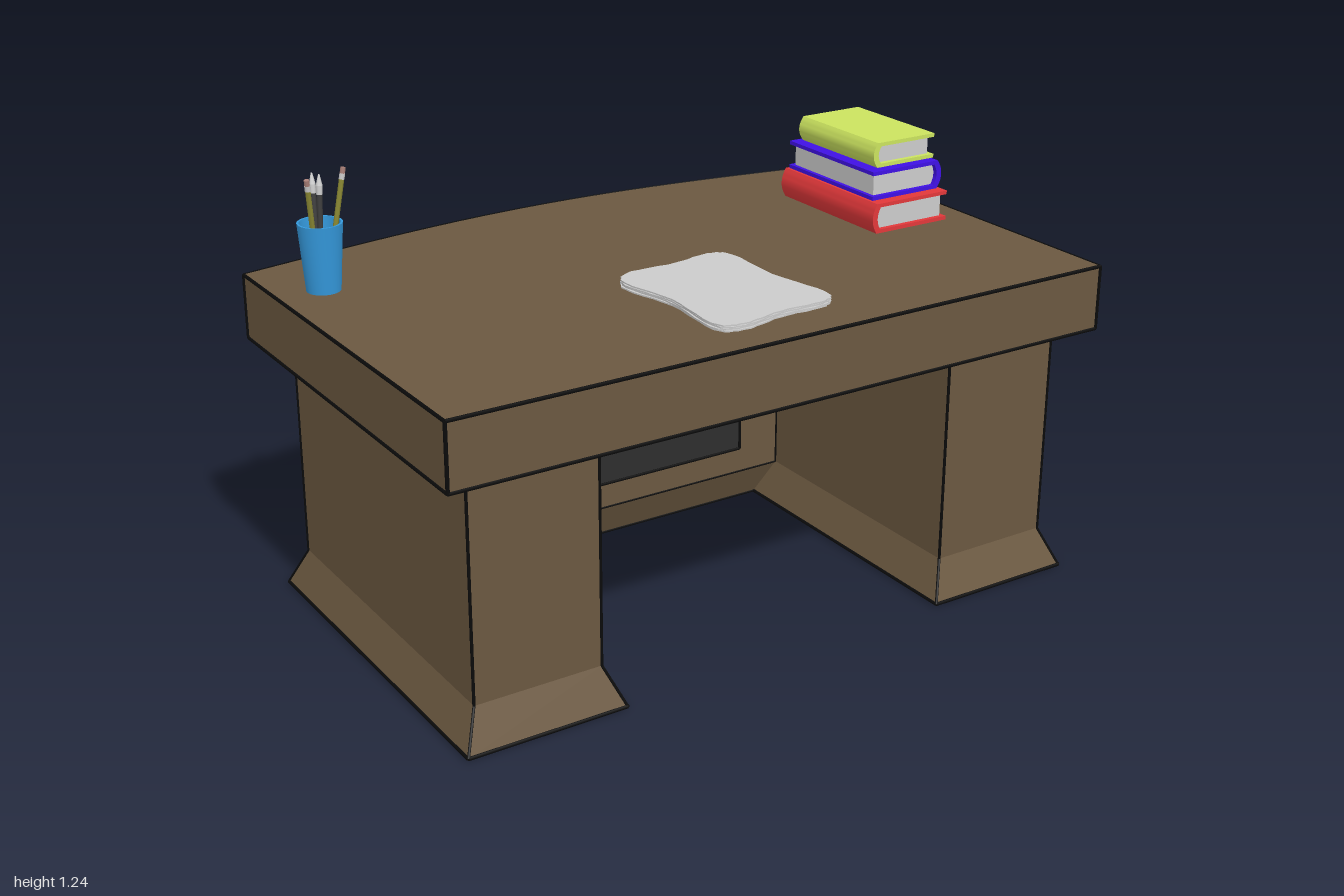
import * as THREE from 'three';
import { toCreasedNormals } from 'three/addons/utils/BufferGeometryUtils.js';

const mat = (color, side = THREE.FrontSide) => new THREE.MeshStandardMaterial({ color, side });
const wood = mat(0x6b5840), dark = mat(0x2e2e2e), ink = mat(0x0b0b0b), grey = mat(0xcccccc);
const V = (x, y, z) => new THREE.Vector3(x, y, z);

function add(parent, name, geo, material) {
  const m = new THREE.Mesh(geo, material);
  m.name = name;
  parent.add(m);
  return m;
}

// Box given by its limits
function box(x0, x1, y0, y1, z0, z1) {
  return new THREE.BoxGeometry(x1 - x0, y1 - y0, z1 - z0)
    .translate((x0 + x1) / 2, (y0 + y1) / 2, (z0 + z1) / 2);
}

// Rod between two points
function rod(a, b, r0, r1 = r0, sides = 6) {
  const d = b.clone().sub(a);
  const g = new THREE.CylinderGeometry(r1, r0, d.length(), sides);
  g.applyQuaternion(new THREE.Quaternion().setFromUnitVectors(V(0, 1, 0), d.clone().normalize()));
  return g.translate((a.x + b.x) / 2, (a.y + b.y) / 2, (a.z + b.z) / 2);
}

// Black trim running along a chain of points
function trim(parent, pts, closed = false, r = 0.005) {
  const n = closed ? pts.length : pts.length - 1;
  for (let i = 0; i < n; i++) add(parent, 'edgeTrim', rod(pts[i], pts[(i + 1) % pts.length], r), ink);
}

const rectPoints = (x0, x1, y0, y1, z) => [V(x0, y0, z), V(x1, y0, z), V(x1, y1, z), V(x0, y1, z)];
const floorRect = (x0, x1, z0, z1, y) => [V(x0, y, z0), V(x1, y, z0), V(x1, y, z1), V(x0, y, z1)];

// Upright slab with a rectangular opening
function frame(x0, x1, y0, y1, hx0, hx1, hy0, hy1, z, depth) {
  const path = (P, a, b, c, d) => new P([[a, c], [b, c], [b, d], [a, d]].map(p => new THREE.Vector2(...p)));
  const s = path(THREE.Shape, x0, x1, y0, y1);
  s.holes.push(path(THREE.Path, hx0, hx1, hy0, hy1));
  return new THREE.ExtrudeGeometry(s, { depth, bevelEnabled: false }).translate(0, 0, z);
}

// Horizontal slab from an (x, z) outline
function slab(points, y, depth) {
  const s = new THREE.Shape(points.map(p => new THREE.Vector2(p.x, -p.y)));
  const g = new THREE.ExtrudeGeometry(s, { depth, bevelEnabled: false });
  return toCreasedNormals(g.rotateX(-Math.PI / 2).translate(0, y, 0), 0.5);
}

function makeTop() {
  const g = new THREE.Group();
  g.name = 'desktop';
  // Bowed rear edge, one half mirrored
  const half = new THREE.CubicBezierCurve(
    new THREE.Vector2(-0.99, -0.53), new THREE.Vector2(-0.65, -0.592),
    new THREE.Vector2(-0.35, -0.652), new THREE.Vector2(0, -0.652)).getPoints(14);
  const back = [...half, ...half.slice(0, -1).reverse().map(p => new THREE.Vector2(-p.x, p.y))];
  const outline = [...back, new THREE.Vector2(0.99, 0.65), new THREE.Vector2(-0.99, 0.65)];
  add(g, 'topSlab', slab(outline, 0.73, 0.184), wood);
  for (const y of [0.732, 0.911]) trim(g, outline.map(p => V(p.x, y, p.y)), true);
  for (const x of [-0.99, 0.99]) for (const z of [-0.53, 0.65]) trim(g, [V(x, 0.732, z), V(x, 0.911, z)]);
  return g;
}

function makePedestal(side) {
  const g = new THREE.Group();
  g.name = side > 0 ? 'leftPedestal' : 'rightPedestal';
  const [x0, x1] = side > 0 ? [0.545, 0.905] : [-0.905, -0.545];
  const [h0, h1] = side > 0 ? [0.61, 0.84] : [-0.84, -0.61];
  const z0 = -0.42, z1 = 0.57, yf = 0.115, cx = (x0 + x1) / 2;
  add(g, 'pedestalBody', box(x0, x1, yf, 0.73, z0 + 0.035, z1), wood);
  add(g, 'pedestalBackFrame', frame(x0, x1, yf, 0.73, h0, h1, 0.275, 0.615, z0, 0.035), wood);
  add(g, 'pedestalInset', box(h0, h1, 0.275, 0.615, z0 + 0.028, z0 + 0.036), dark);
  // Flared foot: lower corners pushed outward
  const foot = box(x0, x1, 0.008, yf, z0, z1).toNonIndexed();
  const p = foot.attributes.position;
  for (let i = 0; i < p.count; i++) {
    if (p.getY(i) > 0.05) continue;
    p.setX(i, p.getX(i) + Math.sign(p.getX(i) - cx) * 0.045);
    p.setZ(i, p.getZ(i) + Math.sign(p.getZ(i)) * 0.05);
  }
  foot.computeVertexNormals();
  add(g, 'pedestalFoot', foot, wood);
  trim(g, floorRect(x0 - 0.045, x1 + 0.045, z0 - 0.05, z1 + 0.05, 0.008), true);
  for (const [x, s] of [[x0, -1], [x1, 1]])
    for (const [z, t] of [[z0, -1], [z1, 1]])
      trim(g, [V(x, 0.73, z), V(x, yf, z), V(x + s * 0.045, 0.008, z + t * 0.05)], false, 0.004);
  trim(g, rectPoints(h0, h1, 0.275, 0.615, z0), true, 0.004);
  trim(g, rectPoints(h0, h1, 0.275, 0.615, z0 + 0.028), true, 0.003);
  return g;
}

function makePanel() {
  const g = new THREE.Group();
  g.name = 'modestyPanel';
  const z0 = -0.245, d = 0.035, yf = 0.115;
  add(g, 'panelFrame', frame(-0.545, 0.545, yf, 0.73, -0.41, 0.41, 0.19, 0.665, z0, d), wood);
  add(g, 'panelInset', box(-0.41, 0.41, 0.19, 0.665, z0 + 0.024, z0 + 0.03), dark);
  // Skirt kicks out toward the back
  const skirt = box(-0.545, 0.545, 0.008, yf, z0, z0 + d).toNonIndexed();
  const p = skirt.attributes.position;
  for (let i = 0; i < p.count; i++) if (p.getY(i) < 0.05) p.setZ(i, p.getZ(i) - 0.05);
  skirt.computeVertexNormals();
  add(g, 'panelSkirt', skirt, wood);
  for (const z of [z0, z0 + d]) {
    trim(g, rectPoints(-0.41, 0.41, 0.19, 0.665, z), true, 0.004);
    trim(g, [V(-0.545, yf, z), V(0.545, yf, z)], false, 0.003);
    trim(g, [V(-0.5, 0.008, z - 0.05), V(0.5, 0.008, z - 0.05)], false, 0.004);
    for (const x of [-0.545, 0.545]) trim(g, [V(x, yf, z), V(x, 0.73, z)], false, 0.004);
  }
  return g;
}

// Book with a rounded spine on its -x side
function makeBook(name, color, w, h, len) {
  const g = new THREE.Group(), t = 0.011, r = 0.018;
  g.name = name;
  const s = new THREE.Shape();
  s.moveTo(w / 2, 0);
  s.lineTo(w / 2, t);
  s.lineTo(-w / 2 + 0.03, t);
  s.quadraticCurveTo(-w / 2 + t, h / 2, -w / 2 + 0.03, h - t);
  s.lineTo(w / 2, h - t);
  s.lineTo(w / 2, h);
  s.lineTo(-w / 2 + r, h);
  s.quadraticCurveTo(-w / 2 - 0.012, h / 2, -w / 2 + r, 0);
  const cover = new THREE.ExtrudeGeometry(s, { depth: len, bevelEnabled: false, curveSegments: 10 });
  add(g, 'bookCover', toCreasedNormals(cover.translate(0, 0, -len / 2), 0.6), mat(color));
  add(g, 'bookPages', box(-w / 2 + 0.018, w / 2 - 0.012, t, h - t, -len / 2 + 0.014, len / 2 - 0.014), grey);
  return g;
}

function makeCup() {
  const g = new THREE.Group();
  g.name = 'pencilCup';
  const profile = [[0, 0], [0.046, 0], [0.06, 0.185], [0.054, 0.185], [0.042, 0.008], [0, 0.008]];
  const cup = new THREE.LatheGeometry(profile.map(p => new THREE.Vector2(...p)), 24);
  add(g, 'cup', toCreasedNormals(cup, 0.6), mat(0x3498db));
  const olive = mat(0x8c8a34), eraser = mat(0xa98078), handle = mat(0x3c3c3c);
  // Pencils and brushes: foot point, tip point, kind
  const sticks = [
    [V(-0.015, 0.01, 0.01), V(-0.05, 0.318, 0.052), 'pencil'],
    [V(0.01, 0.01, 0.005), V(0.072, 0.322, 0.005), 'pencil'],
    [V(0, 0.01, -0.01), V(0.022, 0.3, -0.038), 'brush'],
    [V(-0.005, 0.01, -0.015), V(0.012, 0.3, -0.062), 'brush'],
  ];
  for (const [a, b, kind] of sticks) {
    const at = k => a.clone().lerp(b, k);
    if (kind === 'pencil') {
      add(g, 'pencilShaft', rod(a, at(0.9), 0.007), olive);
      add(g, 'pencilFerrule', rod(at(0.9), at(0.95), 0.0075, 0.0075, 10), grey);
      add(g, 'pencilEraser', rod(at(0.95), b, 0.007, 0.007, 10), eraser);
    } else {
      add(g, 'brushHandle', rod(a, at(0.82), 0.005, 0.008, 10), handle);
      add(g, 'brushFerrule', rod(at(0.82), at(0.9), 0.008, 0.009, 10), grey);
      add(g, 'brushTip', rod(at(0.9), b, 0.009, 0.002, 10), grey);
    }
  }
  return g;
}

function makePapers() {
  const g = new THREE.Group();
  g.name = 'paperStack';
  const pts = [[-0.16, 0.065], [0, 0.062], [0.12, 0.042], [0.163, 0.065], [0.168, 0.28], [0.2, 0.49], [0.165, 0.52],
    [0.02, 0.523], [-0.11, 0.547], [-0.17, 0.525], [-0.167, 0.3], [-0.2, 0.11]];
  const curve = new THREE.CatmullRomCurve3(pts.map(([x, z]) => V(x, 0, z - 0.295)), true, 'centripetal');
  for (let i = 0; i < 4; i++) {
    // Each sheet has slightly ragged edges
    const out = curve.getPoints(72).slice(0, -1).map((p, k) => {
      const f = 0.99 + 0.008 * Math.sin(k * 2.3 + i * 1.9);
      return new THREE.Vector2(p.x * f, p.z * f);
    });
    const m = add(g, 'paperSheet', slab(out, i * 0.005, 0.004), grey);
    m.rotation.y = [0.015, -0.012, 0.01, 0][i];
  }
  return g;
}

export function createModel() {
  const model = new THREE.Group();
  model.name = 'desk';
  model.add(makeTop(), makePedestal(1), makePedestal(-1), makePanel());

  const place = (o, x, y, z, ry = 0) => {
    o.position.set(x, y, z);
    o.rotation.y = ry;
    model.add(o);
  };
  place(makeBook('redBook', 0xe2383a, 0.27, 0.087, 0.44), 0.766, 0.915, -0.112);
  place(makeBook('blueBook', 0x3f11e4, 0.25, 0.083, 0.4), 0.77, 1.008, -0.11, Math.PI);
  place(makeBook('greenBook', 0xcbe35f, 0.22, 0.072, 0.355), 0.768, 1.094, -0.11);
  place(makeCup(), -0.862, 0.915, -0.295);
  place(makePapers(), 0, 0.916, 0.295);
  return model;
}
